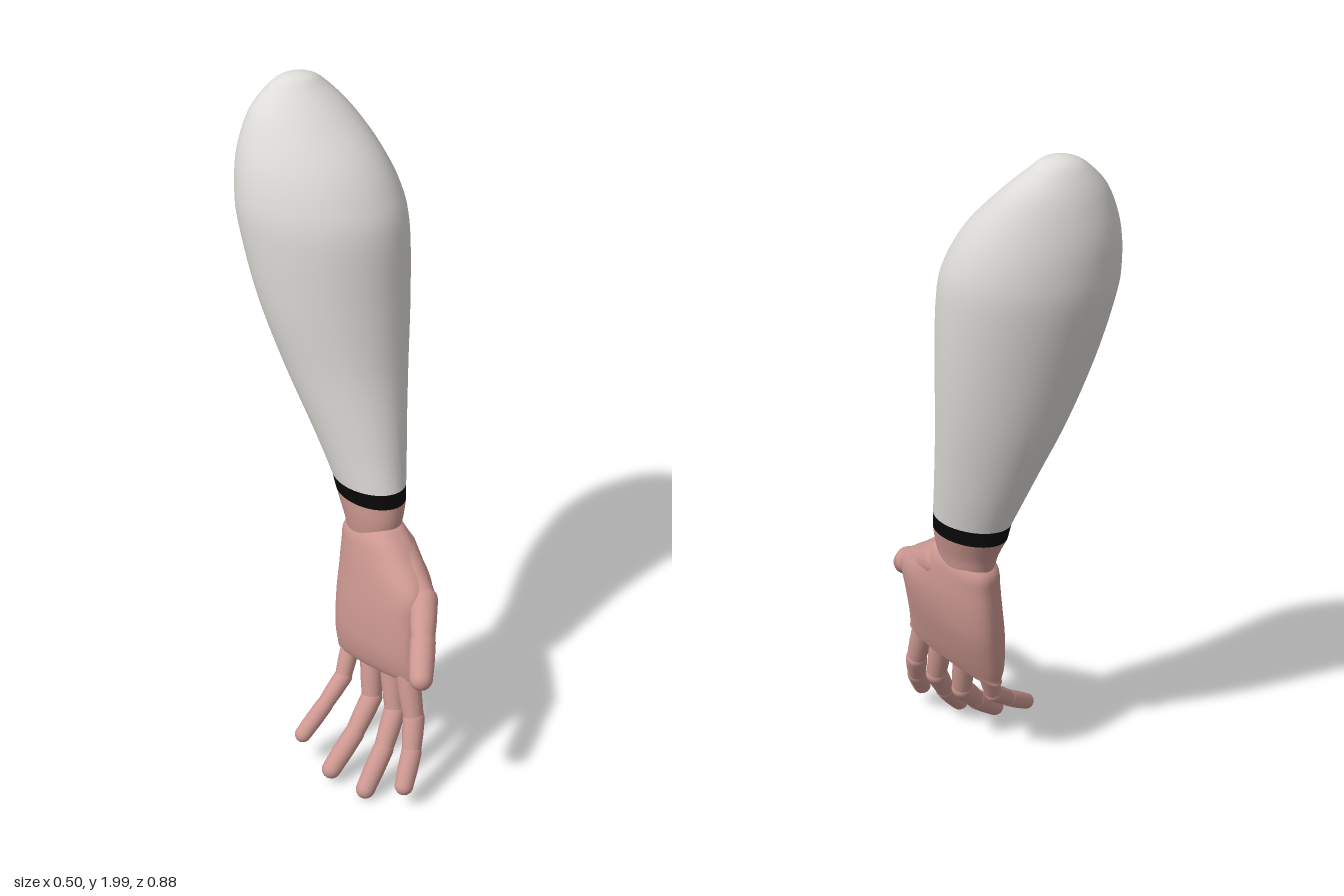
import * as THREE from 'three';

const cloth = new THREE.MeshStandardMaterial({ color: 0xdedcd8 });
cloth.name = 'sleeve white';
const skin = new THREE.MeshStandardMaterial({ color: 0xcc9790 });
skin.name = 'skin pink';
const black = new THREE.MeshStandardMaterial({ color: 0x080808 });
black.name = 'band black';

// Smooth skin through oval rows [y, xMin, xMax, zMin, zMax, skew], listed from top to bottom.
// power below 1 squares the ovals off; slope tilts each row along z.
function loft(rows, { power = 1, slope = 0, sub = 5, sides = 40 } = {}) {
  const cr = (a, b, c, d, t) =>
    0.5 * (2 * b + (c - a) * t + (2 * a - 5 * b + 4 * c - d) * t * t + (3 * b - a - 3 * c + d) * t * t * t);
  const last = rows.length - 1;
  const steps = last * sub;
  const soft = (v) => Math.sign(v) * Math.abs(v) ** power;
  const pos = [];
  const index = [];
  for (let i = 0; i <= steps; i++) {
    const k = Math.min(Math.floor(i / sub), last - 1);
    const t = i / sub - k;
    const [A, B, C, D] = [Math.max(k - 1, 0), k, k + 1, Math.min(k + 2, last)].map((n) => rows[n]);
    const [y, x0, x1, z0, z1, skew] = B.map((v, n) => cr(A[n], v, C[n], D[n], t));
    for (let j = 0; j < sides; j++) {
      const a = (j / sides) * Math.PI * 2;
      const x = (x0 + x1) / 2 + ((x1 - x0) / 2) * soft(Math.cos(a));
      const z = (z0 + z1) / 2 + ((z1 - z0) / 2) * soft(Math.sin(a + skew));
      pos.push(x, y + slope * z, z);
      if (i < steps) {
        const p = i * sides + j;
        const q = i * sides + ((j + 1) % sides);
        index.push(p, q, p + sides, q, q + sides, p + sides);
      }
    }
  }
  const geo = new THREE.BufferGeometry();
  geo.setAttribute('position', new THREE.Float32BufferAttribute(pos, 3));
  geo.setIndex(index);
  geo.computeVertexNormals();
  return geo;
}

// Tapered, slightly swollen capsule between two points
function segment(p, q, r0, r1) {
  const a = new THREE.Vector3(...p);
  const dir = new THREE.Vector3(...q).sub(a);
  const len = dir.length();
  const profile = [];
  for (let i = 0; i <= 6; i++) {
    const t = (i / 6) * Math.PI / 2;
    profile.push(new THREE.Vector2(r0 * Math.sin(t), -r0 * Math.cos(t)));
  }
  profile.push(new THREE.Vector2((r0 + r1) * 0.52, len / 2));
  for (let i = 0; i <= 6; i++) {
    const t = (i / 6) * Math.PI / 2;
    profile.push(new THREE.Vector2(r1 * Math.cos(t), len + r1 * Math.sin(t)));
  }
  const geo = new THREE.LatheGeometry(profile, 18);
  geo.applyQuaternion(new THREE.Quaternion().setFromUnitVectors(new THREE.Vector3(0, 1, 0), dir.normalize()));
  return geo.translate(a.x, a.y, a.z);
}

export function createModel() {
  const model = new THREE.Group();
  model.name = 'arm';
  const add = (name, geo, mat, parent = model) => {
    const mesh = new THREE.Mesh(geo, mat);
    mesh.name = name;
    parent.add(mesh);
  };

  // Sleeve, cuff band and wrist share their border rows
  const cuffTop = [0.87, -0.035, 0.14, -0.15, 0.093, 0.05];
  const cuffBottom = [0.825, -0.03, 0.138, -0.142, 0.098, 0];
  add('sleeve', loft([
    [2.0, 0.045, 0.045, -0.32, -0.32, 0.25],
    [1.992, 0.005, 0.085, -0.355, -0.285, 0.25],
    [1.965, -0.035, 0.12, -0.385, -0.255, 0.25],
    [1.9, -0.095, 0.17, -0.418, -0.185, 0.25],
    [1.8, -0.14, 0.215, -0.44, -0.09, 0.25],
    [1.7, -0.162, 0.243, -0.44, -0.03, 0.25],
    [1.6, -0.165, 0.25, -0.425, 0.0, 0.25],
    [1.4, -0.145, 0.235, -0.365, 0.015, 0.25],
    [1.2, -0.105, 0.208, -0.295, 0.033, 0.2],
    [1.0, -0.06, 0.17, -0.21, 0.068, 0.1],
    cuffTop,
  ]), cloth);
  add('cuffBand', loft([cuffTop, cuffBottom]), black);
  add('wrist', loft([
    cuffBottom,
    [0.76, -0.025, 0.118, -0.105, 0.097, 0],
    [0.69, -0.01, 0.1, -0.075, 0.075, 0],
    [0.66, 0.04, 0.04, 0, 0, 0],
  ]), skin);

  // Palm with a rounded back, its rows tilted up toward the thumb side
  const hand = new THREE.Group();
  hand.name = 'hand';
  model.add(hand);
  add('palm', loft([
    [0.75, 0.045, 0.045, 0.01, 0.01, -0.1],
    [0.745, 0.0, 0.095, -0.06, 0.085, -0.1],
    [0.72, -0.025, 0.112, -0.1, 0.125, -0.1],
    [0.67, -0.04, 0.115, -0.105, 0.18, -0.15],
    [0.59, -0.058, 0.112, -0.11, 0.262, -0.2],
    [0.5, -0.073, 0.095, -0.107, 0.27, -0.22],
    [0.4, -0.078, 0.06, -0.093, 0.277, -0.2],
    [0.335, -0.068, 0.032, -0.075, 0.283, -0.15],
    [0.312, -0.052, 0.016, -0.06, 0.27, -0.12],
    [0.306, -0.02, -0.02, 0.1, 0.1, -0.1],
  ], { power: 0.8, slope: 0.18 }), skin, hand);

  // Thumb and fingers: joints from root to tip centre, then root and tip radius
  const digits = {
    thumb: [[[0.055, 0.69, 0.09], [0.02, 0.61, 0.255], [-0.05, 0.545, 0.335], [-0.115, 0.488, 0.405]], 0.058, 0.033],
    indexFinger: [[[-0.025, 0.37, 0.24], [-0.035, 0.24, 0.283], [-0.07, 0.155, 0.316], [-0.122, 0.077, 0.346]], 0.034, 0.027],
    middleFinger: [[[-0.02, 0.35, 0.165], [-0.035, 0.22, 0.2], [-0.1, 0.125, 0.226], [-0.183, 0.034, 0.247]], 0.034, 0.028],
    ringFinger: [[[-0.02, 0.33, 0.073], [-0.04, 0.21, 0.1], [-0.12, 0.125, 0.117], [-0.215, 0.05, 0.13]], 0.033, 0.028],
    littleFinger: [[[-0.02, 0.32, -0.022], [-0.06, 0.23, -0.008], [-0.14, 0.17, 0.003], [-0.228, 0.113, 0.014]], 0.028, 0.024],
  };
  for (const [name, [joints, r0, r1]] of Object.entries(digits)) {
    const digit = new THREE.Group();
    digit.name = name;
    hand.add(digit);
    const radius = (i) => (name === 'thumb' ? [r0, 0.04, 0.036, r1][i] : r0 + ((r1 - r0) * i) / 3);
    for (let i = 0; i < 3; i++) {
      add(`${name}Segment${i + 1}`, segment(joints[i], joints[i + 1], radius(i), radius(i + 1) * (i < 2 ? 0.92 : 1)), skin, digit);
    }
  }
  return model;
}
